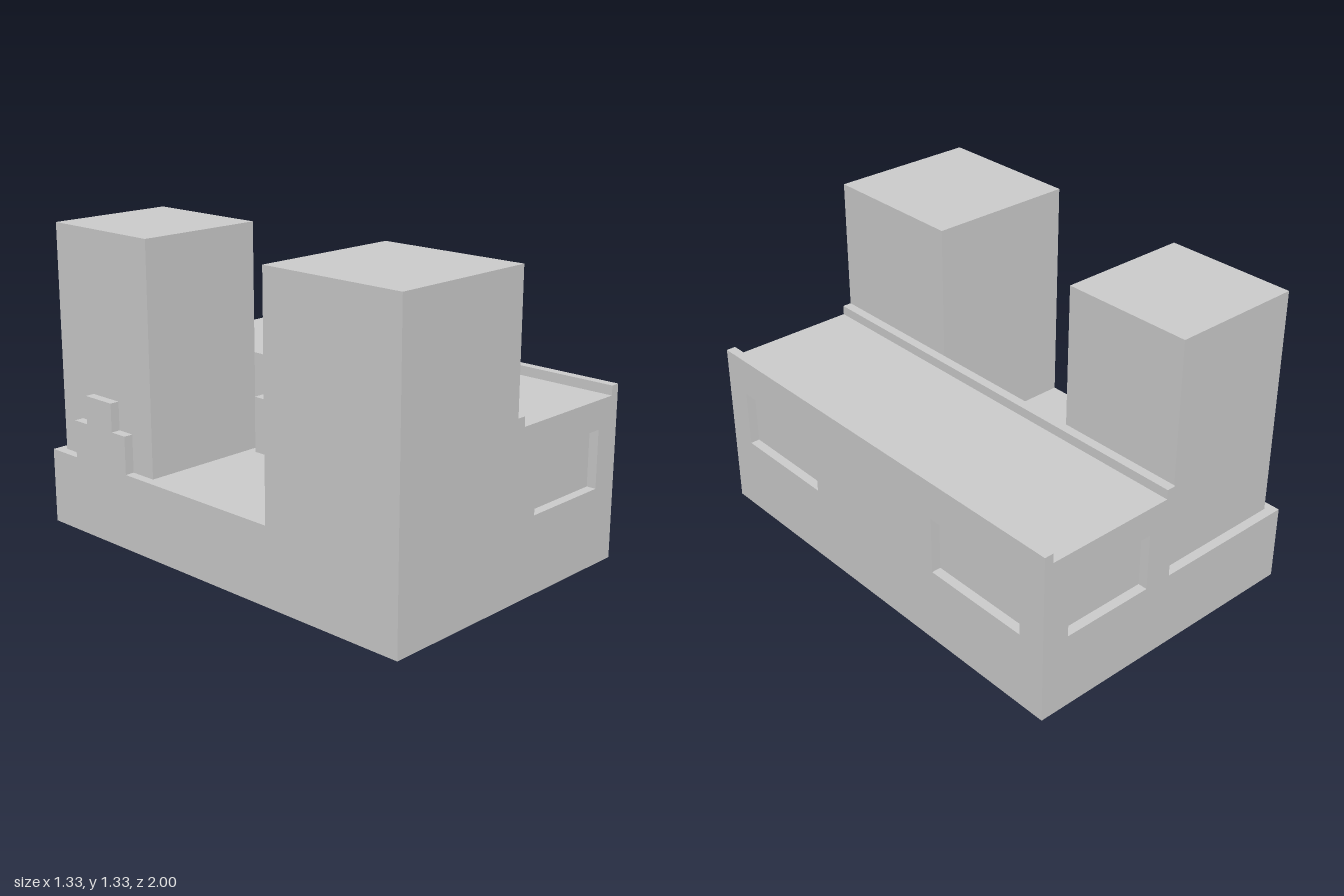
import * as THREE from 'three';

const material = new THREE.MeshStandardMaterial({ color: 0xcccccc, flatShading: true });
const T = 1 / 24; // wall thickness, also the window depth
const X = 2 / 3; // half width
const DECK = 17 / 24, PARAPET = 0.75, BASE = 1 / 3, TOP = 4 / 3;

// Box given by its minimum and maximum corners
function block(name, [x0, y0, z0], [x1, y1, z1]) {
  const mesh = new THREE.Mesh(new THREE.BoxGeometry(x1 - x0, y1 - y0, z1 - z0), material);
  mesh.position.set((x0 + x1) / 2, (y0 + y1) / 2, (z0 + z1) / 2);
  mesh.name = name;
  return mesh;
}

function rectangle(target, a, b, y0, y1) {
  target.moveTo(a, y0);
  target.lineTo(b, y0);
  target.lineTo(b, y1);
  target.lineTo(a, y1);
  target.closePath();
  return target;
}

// Outer wall skin with window openings, extruded along +z
function windowWall(name, a, b, height, windows) {
  const shape = rectangle(new THREE.Shape(), a, b, 0, height);
  for (const [w0, w1] of windows) {
    shape.holes.push(rectangle(new THREE.Path(), w0, w1, BASE, 7 / 12));
  }
  const mesh = new THREE.Mesh(
    new THREE.ExtrudeGeometry(shape, { depth: T, bevelEnabled: false }), material);
  mesh.name = name;
  return mesh;
}

export function createModel() {
  const model = new THREE.Group();
  model.name = 'building';

  // Long hall: solid core, whose faces show as the recessed window panes
  model.add(block('hallCore', [0, 0, -1 + T], [X - T, DECK, 1 - T]));
  const endWindow = [[0.125, 13 / 24]];
  const front = windowWall('frontWall', 0, X - T, DECK, endWindow);
  front.position.z = 1 - T;
  const back = windowWall('backWall', 0, X - T, DECK, endWindow);
  back.position.z = -1;
  const side = windowWall('sideWall', -1, 1, PARAPET, [[-0.875, -0.375], [0.375, 0.875]]);
  side.rotation.y = Math.PI / 2;
  side.position.x = X - T;
  model.add(front, back, side);
  model.add(block('innerParapet', [0, DECK, -1], [T, PARAPET, 1]));

  // Low terrace with a tower at each end
  model.add(block('terrace', [-X, 0, -1], [0, BASE, 1]));
  model.add(block('frontTower', [-X, BASE, 1 / 3], [0, TOP, 1]));
  model.add(block('backTower', [-X + T, BASE, -23 / 24], [-T, TOP, -0.375]));

  // Shallow block against the hall, between the towers
  model.add(block('doorway', [-2 * T, BASE, -1 / 3], [0, 7 / 12, 1 / 3]));

  // Stepped crest on the terrace edge
  model.add(block('crestLower', [-X, BASE, -20 / 24], [-X + T, 0.5, -0.5]));
  model.add(block('crestUpper', [-X, 0.5, -0.75], [-X + T, 0.625, -14 / 24]));

  return model;
}
